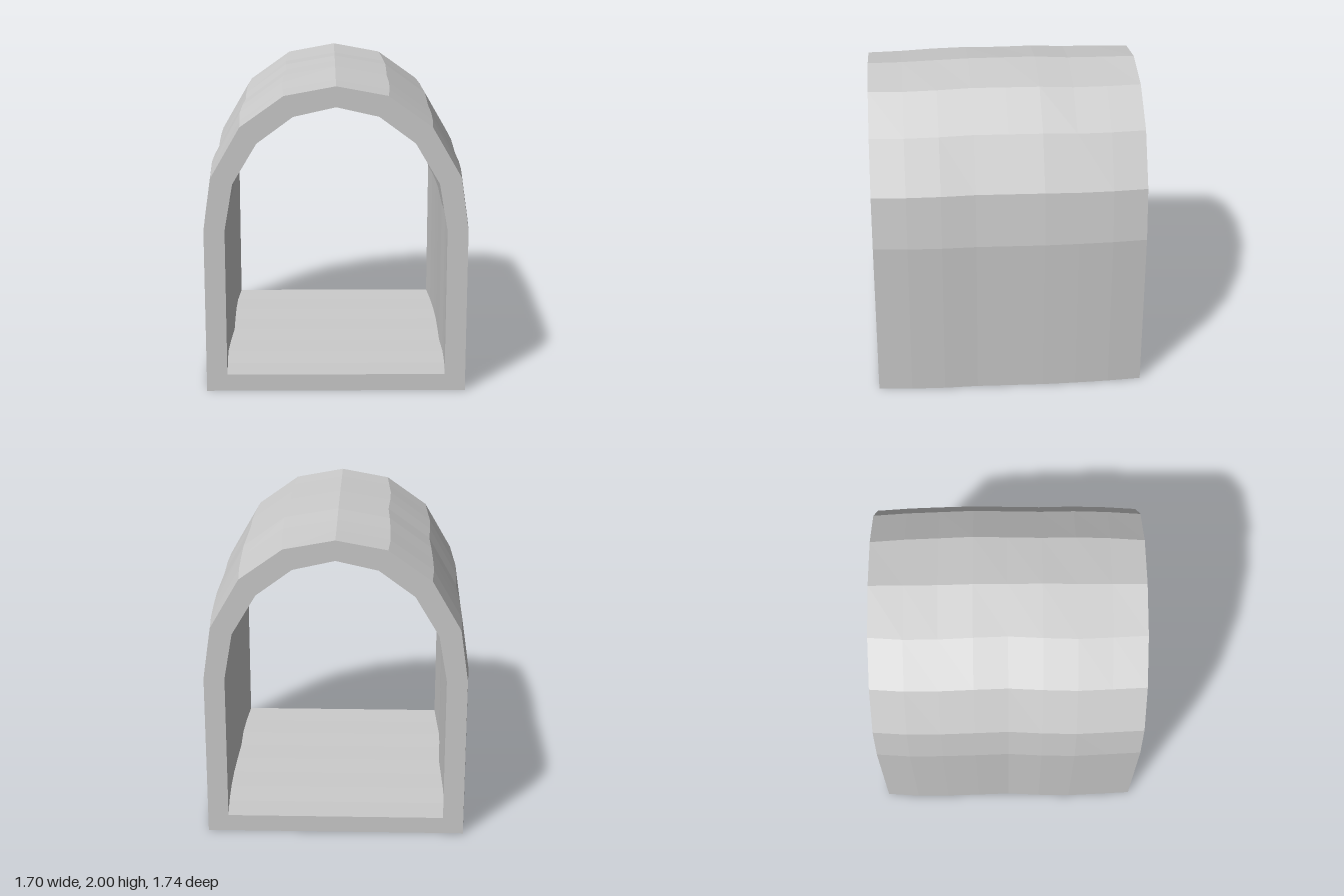
import * as THREE from 'three';

const material = new THREE.MeshStandardMaterial({ color: 0xcccccc, flatShading: true });

// Half profiles from the base corner up to the shoulder; the crown is one central point
const OUTER = { half: [[0.83, 0], [0.83, 1.07], [0.78, 1.41], [0.595, 1.73], [0.322, 1.925]], crown: 1.985 };
const INNER = { half: [[0.698, 0.11], [0.698, 1.07], [0.645, 1.37], [0.492, 1.627], [0.265, 1.795]], crown: 1.855 };

// Gentle outward swelling of each cross-section, from back to front
const LENGTH = 1.74;
const SWELL_LEFT = [0, 0.015, 0.022, 0.025, 0.02, 0.015, 0.02, 0.015, 0];
const SWELL_RIGHT = [0, 0.015, 0.015, 0.01, 0.003, 0.015, 0.02, 0.01, 0];
const SWELL_TOP = [0, 0, 0.002, 0.015, 0.015, 0.015, 0.008, 0.001, 0];
const FLOOR_DIP = [0, 0.005, 0.002, 0.006, 0.002, 0.006, 0.002, 0.005, 0];
const SEGMENTS = SWELL_TOP.length - 1;

// One closed loop, counter-clockwise when seen from the front
function section({ half, crown }, i, dip = 0) {
  const z = -LENGTH / 2 + (LENGTH * i) / SEGMENTS;
  const side = (sign, swell) => half.map(([x, y], k) => {
    const lift = k === 0 ? -dip : SWELL_TOP[i] * Math.max(0, (y - 1.07) / 0.9);
    return new THREE.Vector3(sign * (x + swell) - 0.004, y + lift, z);
  });
  const left = side(1, SWELL_LEFT[i]);
  const right = side(-1, SWELL_RIGHT[i]).reverse();
  return [...left, new THREE.Vector3(-0.004, crown + SWELL_TOP[i], z), ...right];
}

// Skin a strip of quads between two closed loops
function bridge(positions, a, b) {
  for (let j = 0; j < a.length; j++) {
    const k = (j + 1) % a.length;
    for (const p of [a[j], a[k], b[k], a[j], b[k], b[j]]) positions.push(p.x, p.y, p.z);
  }
}

function makeMesh(name, pairs) {
  const positions = [];
  for (const [a, b] of pairs) bridge(positions, a, b);
  const geometry = new THREE.BufferGeometry();
  geometry.setAttribute('position', new THREE.Float32BufferAttribute(positions, 3));
  geometry.computeVertexNormals();
  const mesh = new THREE.Mesh(geometry, material);
  mesh.name = name;
  return mesh;
}

export function createModel() {
  const group = new THREE.Group();
  group.name = 'archedTunnel';

  const outer = [], inner = [];
  for (let i = 0; i <= SEGMENTS; i++) {
    outer.push(section(OUTER, i));
    inner.push(section(INNER, i, FLOOR_DIP[i]));
  }
  const steps = Array.from({ length: SEGMENTS }, (_, i) => i);

  // Outside walls, roof and base
  group.add(makeMesh('outerShell', steps.map(i => [outer[i], outer[i + 1]])));
  // Inside walls, vault and floor
  group.add(makeMesh('innerLining', steps.map(i => [inner[i + 1], inner[i]])));
  // Flat rims around both openings
  group.add(makeMesh('frontRim', [[outer[SEGMENTS], inner[SEGMENTS]]]));
  group.add(makeMesh('backRim', [[inner[0], outer[0]]]));

  return group;
}
